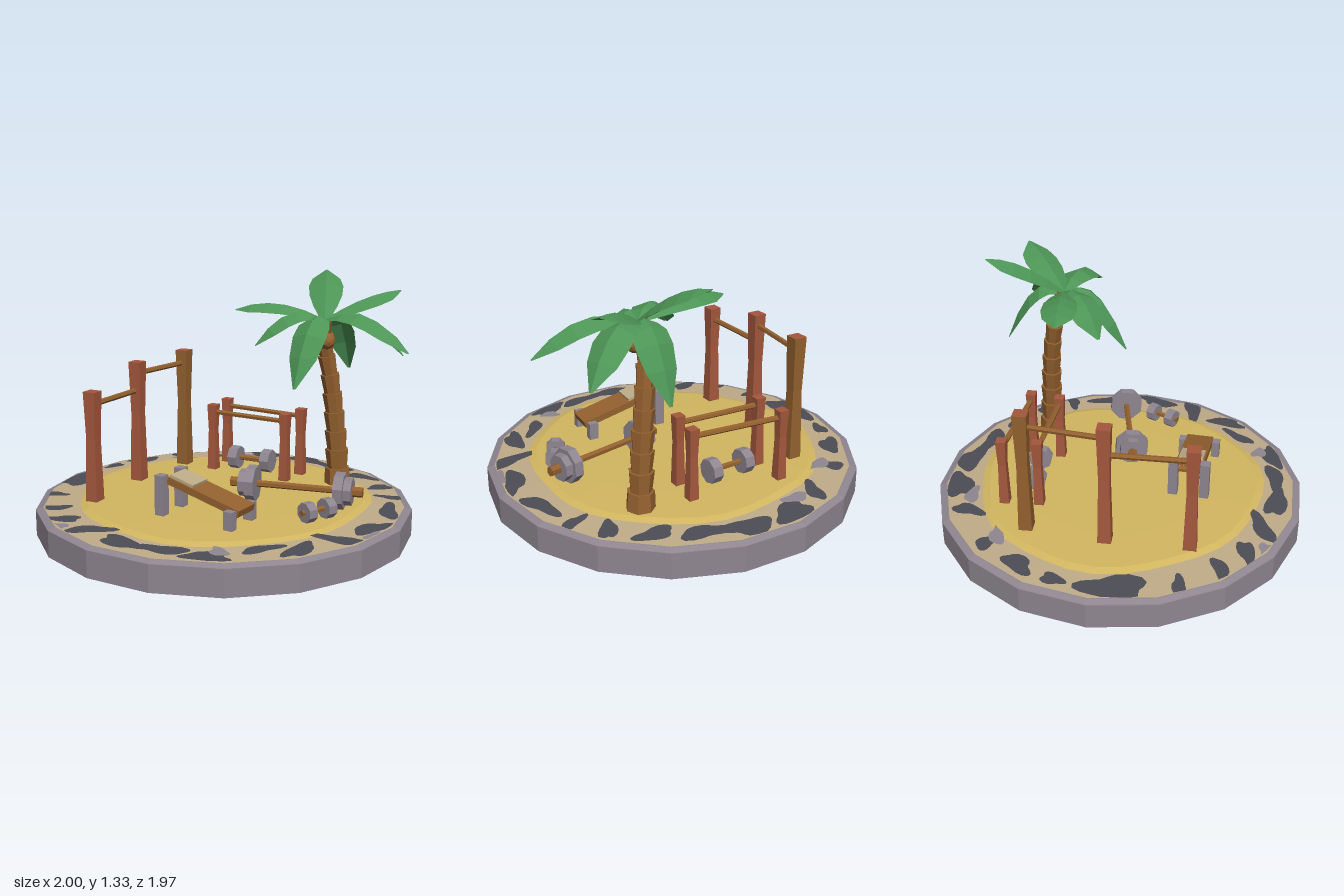
import * as THREE from 'three';

const mat = (name, color, side = THREE.FrontSide) => {
  const m = new THREE.MeshStandardMaterial({ color, side });
  m.name = name;
  return m;
};
const V = (x, y, z) => new THREE.Vector3(x, y, z);

// Hard-edged facets
function facet(geo) {
  const g = geo.index ? geo.toNonIndexed() : geo;
  g.computeVertexNormals();
  return g;
}

export function createModel() {
  const sand = mat('sand', 0xd2b660);
  const tan = mat('tan', 0xbfab88);
  const charcoal = mat('charcoal', 0x4c4c55);
  const stone = mat('stone', 0x8f8690);
  const redWood = mat('redWood', 0xa5583d);
  const brown = mat('brownWood', 0x94612f);
  const leafGreen = mat('leafGreen', 0x4d9556, THREE.DoubleSide);

  const model = new THREE.Group();
  model.name = 'beachGym';
  const group = (name, parent = model) => {
    const g = new THREE.Group();
    g.name = name;
    parent.add(g);
    return g;
  };
  const add = (parent, name, geo, material) => {
    const m = new THREE.Mesh(facet(geo), material);
    m.name = name;
    parent.add(m);
    return m;
  };
  // Round piece running from point a to point b
  const rod = (parent, name, a, b, rA, rB, sides, material) => {
    const d = b.clone().sub(a);
    const m = add(parent, name, new THREE.CylinderGeometry(rB, rA, d.length(), sides), material);
    m.position.copy(a).addScaledVector(d, 0.5);
    m.quaternion.setFromUnitVectors(V(0, 1, 0), d.normalize());
    return m;
  };
  const block = (parent, name, w, h, d, x, y, z, material) => {
    const m = add(parent, name, new THREE.BoxGeometry(w, h, d), material);
    m.position.set(x, y, z);
    return m;
  };

  // Island base: eighteen-sided slab, chamfered rim, camouflage ring
  const base = group('islandBase');
  const slice = (name, rTop, rBottom, y0, y1, material) => {
    const m = add(base, name, new THREE.CylinderGeometry(rTop, rBottom, y1 - y0, 18), material);
    m.rotation.y = Math.PI / 18;
    m.position.y = (y0 + y1) / 2;
  };
  slice('slab', 1, 1, 0, 0.138, [stone, stone, tan]);
  slice('rim', 0.965, 0.995, 0.138, 0.15, stone);
  slice('ring', 0.74, 0.96, 0.15, 0.1626, tan);

  // Irregular patches laid on the ring: [x, z, half length, half width, turn]
  const ringHeight = r => 0.15 + (0.96 - r) * 0.057 + 0.005;
  const patch = ([x, z, len, wid, turn], seed, material, lift) => {
    const pts = [];
    const put = (px, pz) => {
      const r = Math.hypot(px, pz), k = Math.min(1, 0.95 / r);
      return V(px * k, ringHeight(r * k) + lift, pz * k);
    };
    for (let i = 0; i <= 20; i++) {
      const a = (i % 20) / 20 * Math.PI * 2;
      const k = 1 + 0.2 * Math.sin(3 * a + seed) + 0.15 * Math.sin(2 * a + seed * 2);
      const u = Math.cos(a) * len * k, v = Math.sin(a) * wid * k;
      pts.push(put(x + u * Math.cos(turn) - v * Math.sin(turn), z + u * Math.sin(turn) + v * Math.cos(turn)));
    }
    const tris = [];
    for (let i = 0; i < 20; i++) tris.push(put(x, z), pts[i + 1], pts[i]);
    add(base, 'camouflagePatch', new THREE.BufferGeometry().setFromPoints(tris), material);
  };
  [
    [-0.9, -0.2, 0.08, 0.035, 0.3], [-0.74, -0.48, 0.17, 0.08, -0.9], [-0.9, 0.04, 0.09, 0.04, 0.2],
    [-0.86, 0.23, 0.1, 0.04, 0.5], [-0.74, 0.42, 0.12, 0.05, 0.2], [-0.6, 0.62, 0.14, 0.05, 0.9],
    [-0.42, 0.75, 0.12, 0.05, 0.5], [-0.24, 0.87, 0.13, 0.045, 0.3], [0.03, 0.83, 0.1, 0.04, -0.2],
    [0.2, 0.86, 0.12, 0.045, -0.8], [0.42, 0.77, 0.13, 0.05, 0.6], [0.62, 0.64, 0.13, 0.05, -0.6],
  ].forEach((p, i) => patch(p, i * 1.7, charcoal, 0));
  [
    [0.79, 0.4, 0.12, 0.05, -1.2], [0.88, 0.18, 0.08, 0.035, 0.2], [0.88, 0, 0.09, 0.04, -0.3],
    [0.84, -0.22, 0.1, 0.05, 0.9], [0.74, -0.44, 0.12, 0.055, 0.9], [0.62, -0.62, 0.13, 0.065, 0.7],
    [0.42, -0.78, 0.13, 0.065, 0.4], [0.18, -0.83, 0.09, 0.045, -0.5], [-0.12, -0.86, 0.06, 0.05, 1.2],
    [-0.35, -0.8, 0.1, 0.05, -0.4], [-0.54, -0.7, 0.07, 0.035, -0.5],
  ].forEach((p, i) => patch(p, i * 2.3 + 1, charcoal, 0));
  [
    [-0.1, -0.79, 0.08, 0.04, 0.3], [0.29, -0.76, 0.07, 0.04, 0.8], [-0.17, 0.83, 0.06, 0.035, 1],
    [0.6, 0.73, 0.06, 0.03, -0.6], [-0.88, 0.33, 0.05, 0.03, 1],
  ].forEach((p, i) => patch(p, i * 1.3, stone, 0.001));

  // Sand: low dome with a wavy outline
  const sandTris = [];
  const sandPoint = (ring, i) => {
    const a = (i % 36) / 36 * Math.PI * 2;
    const r = (0.78 + 0.014 * Math.sin(3 * a + 2) + 0.01 * Math.sin(7 * a)) * [0, 0.65, 0.95, 1][ring];
    return V(r * Math.cos(a), [0.18, 0.178, 0.174, 0.162][ring], r * Math.sin(a));
  };
  for (let k = 0; k < 3; k++) for (let i = 0; i < 36; i++) {
    const a = sandPoint(k, i), b = sandPoint(k, i + 1), c = sandPoint(k + 1, i), d = sandPoint(k + 1, i + 1);
    sandTris.push(a, d, c);
    if (k > 0) sandTris.push(a, b, d);
  }
  add(base, 'sand', new THREE.BufferGeometry().setFromPoints(sandTris), sand);

  // Square post with a slimmer waist
  const post = (parent, x, z, top, r, material) => {
    const h = top - 0.165;
    const geo = new THREE.CylinderGeometry(r, r, h, 4, 2);
    const p = geo.attributes.position;
    for (let i = 0; i < p.count; i++) {
      if (Math.abs(p.getY(i)) < 0.01) p.setXYZ(i, p.getX(i) * 0.78, 0.05, p.getZ(i) * 0.78);
    }
    const m = add(parent, 'post', geo, material);
    m.position.set(x, 0.165 + h / 2, z);
    m.rotation.y = 0.12;
  };

  // Pull-up bars
  const high = group('pullUpBars');
  post(high, -0.69, 0, 0.76, 0.049, redWood);
  post(high, -0.425, -0.34, 0.85, 0.05, redWood);
  post(high, -0.125, -0.635, 0.86, 0.051, [brown, redWood, brown]);
  rod(high, 'bar', V(-0.69, 0.69, 0), V(-0.425, 0.69, -0.34), 0.015, 0.015, 6, brown);
  rod(high, 'bar', V(-0.425, 0.785, -0.34), V(-0.125, 0.785, -0.635), 0.015, 0.015, 6, brown);

  // Parallel bars
  const low = group('parallelBars');
  for (const [x0, z0, x1, z1] of [[0.135, -0.635, 0.495, -0.285], [0.025, -0.485, 0.375, -0.17]]) {
    post(low, x0, z0, 0.56, 0.038, redWood);
    post(low, x1, z1, 0.56, 0.038, redWood);
    rod(low, 'bar', V(x0, 0.517, z0), V(x1, 0.517, z1), 0.015, 0.015, 6, brown);
  }

  // Weights: a handle between two end points, discs given as [offset, radius, thickness]
  const weight = (name, a, b, grip, discs) => {
    const g = group(name), mid = a.clone().lerp(b, 0.5), dir = b.clone().sub(a).normalize();
    const at = s => mid.clone().addScaledVector(dir, s);
    rod(g, 'handle', a, b, grip, grip, 6, brown);
    for (const s of [-1, 1]) for (const [o, r, t] of discs) {
      rod(g, 'disc', at(s * o - t / 2), at(s * o + t / 2), r, r, 8, stone);
    }
    return { g, at };
  };
  weight('dumbbell', V(0.13, 0.25, -0.465), V(0.335, 0.25, -0.315), 0.016, [[0.1, 0.066, 0.055]]);
  weight('smallDumbbell', V(0.285, 0.228, 0.562), V(0.47, 0.228, 0.478), 0.016, [[0.062, 0.052, 0.05]]);
  const bell = weight('barbell', V(0.02, 0.27, 0.095), V(0.645, 0.27, 0.415), 0.018,
    [[0.232, 0.096, 0.05], [0.277, 0.072, 0.04]]);
  for (const s of [-1, 1]) rod(bell.g, 'sleeve', bell.at(s * 0.27), bell.at(s * 0.35), 0.027, 0.027, 6, brown);

  // Sloping bench
  const bench = group('bench');
  bench.position.set(-0.14, 0, 0.4025);
  bench.rotation.y = -Math.atan2(0.677, 0.737);
  const seat = group('seat', bench);
  seat.position.y = 0.305;
  seat.rotation.z = -0.245;
  block(seat, 'board', 0.43, 0.036, 0.15, 0, 0, 0, brown);
  block(seat, 'headRest', 0.14, 0.016, 0.13, -0.14, 0.024, 0, tan);
  for (const s of [-1, 1]) {
    block(bench, 'tallLeg', 0.052, 0.215, 0.05, -0.236, 0.2775, s * 0.085, stone);
    block(bench, 'shortLeg', 0.05, 0.1, 0.045, 0.173, 0.22, s * 0.093, stone);
  }
  rod(bench, 'crossBar', V(-0.236, 0.335, -0.085), V(-0.236, 0.335, 0.085), 0.018, 0.018, 6, brown);

  // Palm trunk: stacked flared segments along a bend
  const palm = group('palmTree');
  const bend = new THREE.CatmullRomCurve3([
    V(0.66, 0.16, -0.078), V(0.645, 0.45, -0.082), V(0.61, 0.75, -0.085), V(0.56, 1, -0.07), V(0.55, 1.1, -0.035)]);
  for (let i = 0; i < 9; i++) {
    const r = 0.069 - i * 0.0032;
    rod(palm, 'trunkSegment', bend.getPointAt(i / 9), bend.getPointAt((i + 1) / 9),
      i === 0 ? 0.076 : r * 0.85, r, 7, brown);
  }
  for (const [x, y, z] of [[0.495, 0.985, -0.085], [0.585, 0.985, -0.11], [0.56, 0.985, -0.02]]) {
    add(palm, 'coconut', new THREE.IcosahedronGeometry(0.046, 1), brown).position.set(x, y, z);
  }

  // Palm leaves: ridged blades arching out to each tip
  const crown = V(0.55, 1.1, -0.03);
  const widths = [0.02, 0.065, 0.09, 0.095, 0.078, 0.008];
  const tips = [[0.12, 1.13, -0.31], [0.17, 0.97, -0.03], [0.32, 0.78, 0.23], [0.67, 1.33, -0.43],
    [0.97, 1.25, -0.03], [0.98, 0.9, 0.02], [0.88, 0.97, 0.36], [0.77, 0.79, -0.28]];
  for (const t of tips) {
    const tip = V(...t);
    const control = crown.clone().lerp(tip, 0.55).setY(Math.max(1.23, tip.y - 0.01));
    const spine = new THREE.QuadraticBezierCurve3(crown, control, tip);
    const rows = widths.map((w, i) => {
      const p = spine.getPoint(i / 5), along = spine.getTangent(i / 5);
      const side = along.clone().cross(V(0, 1, 0)).normalize();
      const up = side.clone().cross(along);
      const edge = s => p.clone().addScaledVector(side, s * w).addScaledVector(up, -w * 0.45);
      return [edge(-1), p, edge(1)];
    });
    const tris = [];
    for (let i = 0; i < 5; i++) for (let j = 0; j < 2; j++) {
      const a = rows[i][j], b = rows[i][j + 1], c = rows[i + 1][j], d = rows[i + 1][j + 1];
      tris.push(a, b, d, a, d, c);
    }
    add(palm, 'palmLeaf', new THREE.BufferGeometry().setFromPoints(tris), leafGreen);
  }

  return model;
}
